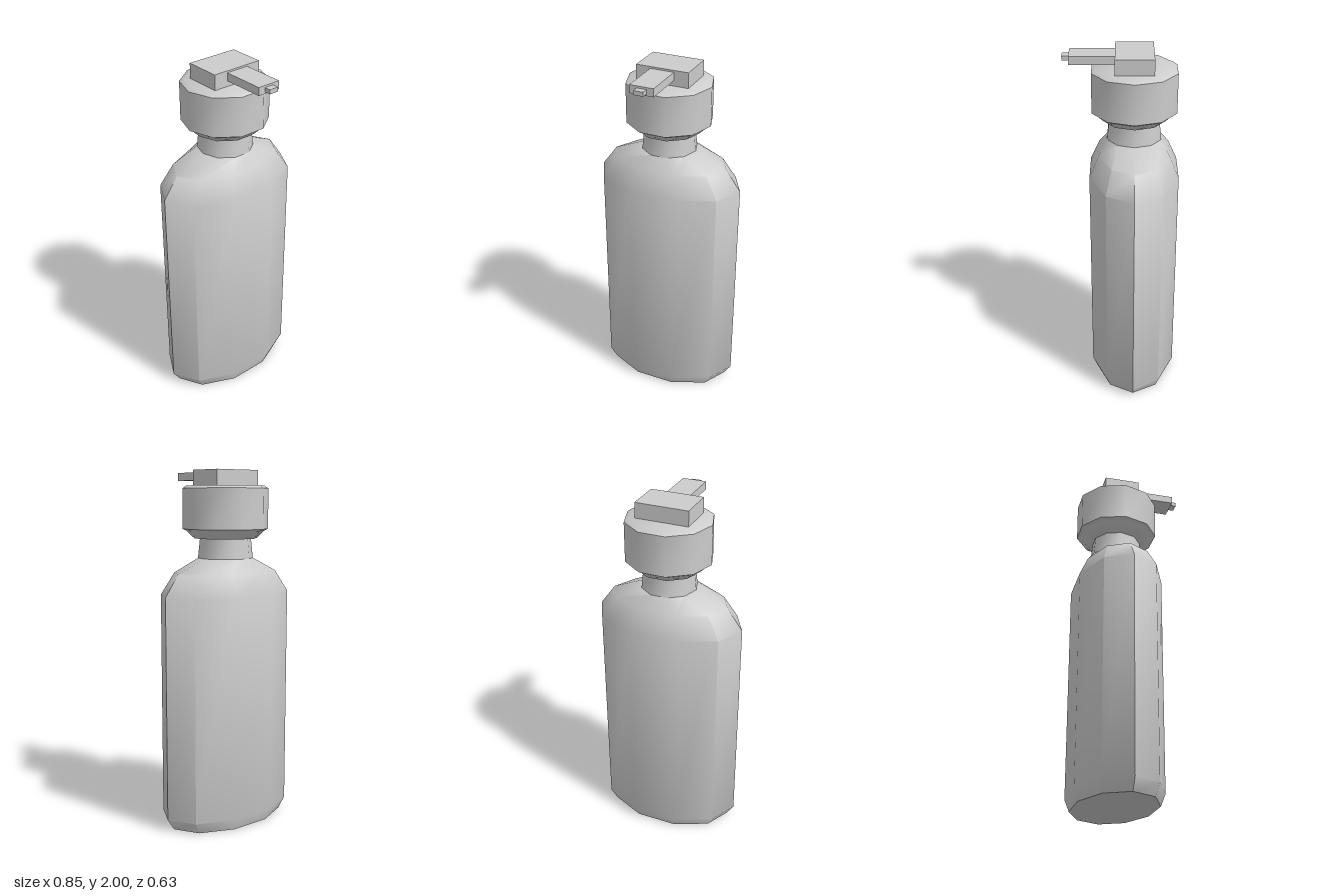
import * as THREE from 'three';
import { toCreasedNormals } from 'three/addons/utils/BufferGeometryUtils.js';

const SIDES = 10;
const AXIS_Z = -0.07;

// Closed loft through elliptical ten-sided rings, each [y, radiusX, radiusZ]
function loft(rings) {
  const pos = [], idx = [];
  for (const [y, rx, rz = rx] of rings) {
    for (let i = 0; i < SIDES; i++) {
      const a = (i / SIDES) * Math.PI * 2;
      pos.push(rx * Math.cos(a), y, rz * Math.sin(a));
    }
  }
  const last = rings.length - 1;
  const bottom = rings.length * SIDES, top = bottom + 1;
  pos.push(0, rings[0][0], 0, 0, rings[last][0], 0);
  for (let i = 0; i < SIDES; i++) {
    const n = (i + 1) % SIDES;
    for (let r = 0; r < last; r++) {
      const a = r * SIDES + i, b = r * SIDES + n;
      idx.push(a, a + SIDES, b, b, a + SIDES, b + SIDES);
    }
    idx.push(bottom, i, n, top, last * SIDES + n, last * SIDES + i);
  }
  const geo = new THREE.BufferGeometry();
  geo.setAttribute('position', new THREE.Float32BufferAttribute(pos, 3));
  geo.setIndex(idx);
  return toCreasedNormals(geo, 0.8);
}

export function createModel() {
  const model = new THREE.Group();
  model.name = 'pumpBottle';
  const grey = new THREE.MeshStandardMaterial({ color: 0xcccccc });
  grey.name = 'light grey';

  const add = (name, geo, x, y, z) => {
    const mesh = new THREE.Mesh(geo, grey);
    mesh.name = name;
    mesh.position.set(x, y, z);
    model.add(mesh);
  };
  // Box given by its width and its y and z extents
  const addBox = (name, w, y0, y1, z0, z1) =>
    add(name, new THREE.BoxGeometry(w, y1 - y0, z1 - z0), 0, (y0 + y1) / 2, (z0 + z1) / 2);

  // Flattened body with chamfered base and sloping shoulders
  add('body', loft([
    [0, 0.38, 0.233],
    [0.065, 0.423, 0.257],
    [1.32, 0.423, 0.257],
    [1.44, 0.335, 0.204],
    [1.515, 0.155],
  ]), 0, 0, AXIS_Z);

  // Tapered neck
  add('neck', loft([[1.515, 0.155], [1.63, 0.143]]), 0, 0, AXIS_Z);

  // Collar under the cap, and the cap with chamfered rims
  add('collar', loft([[1.625, 0.175], [1.67, 0.222]]), 0, 0, AXIS_Z);
  add('cap', loft([
    [1.668, 0.222],
    [1.678, 0.24],
    [1.9, 0.24],
    [1.915, 0.218],
  ]), 0, 0, AXIS_Z);

  // Pump head, spout and nozzle
  addBox('pumpHead', 0.298, 1.912, 2, -0.173, 0.033);
  addBox('spout', 0.134, 1.945, 1.99, 0.03, 0.275);
  addBox('nozzle', 0.054, 1.955, 1.979, 0.272, 0.312);

  return model;
}
